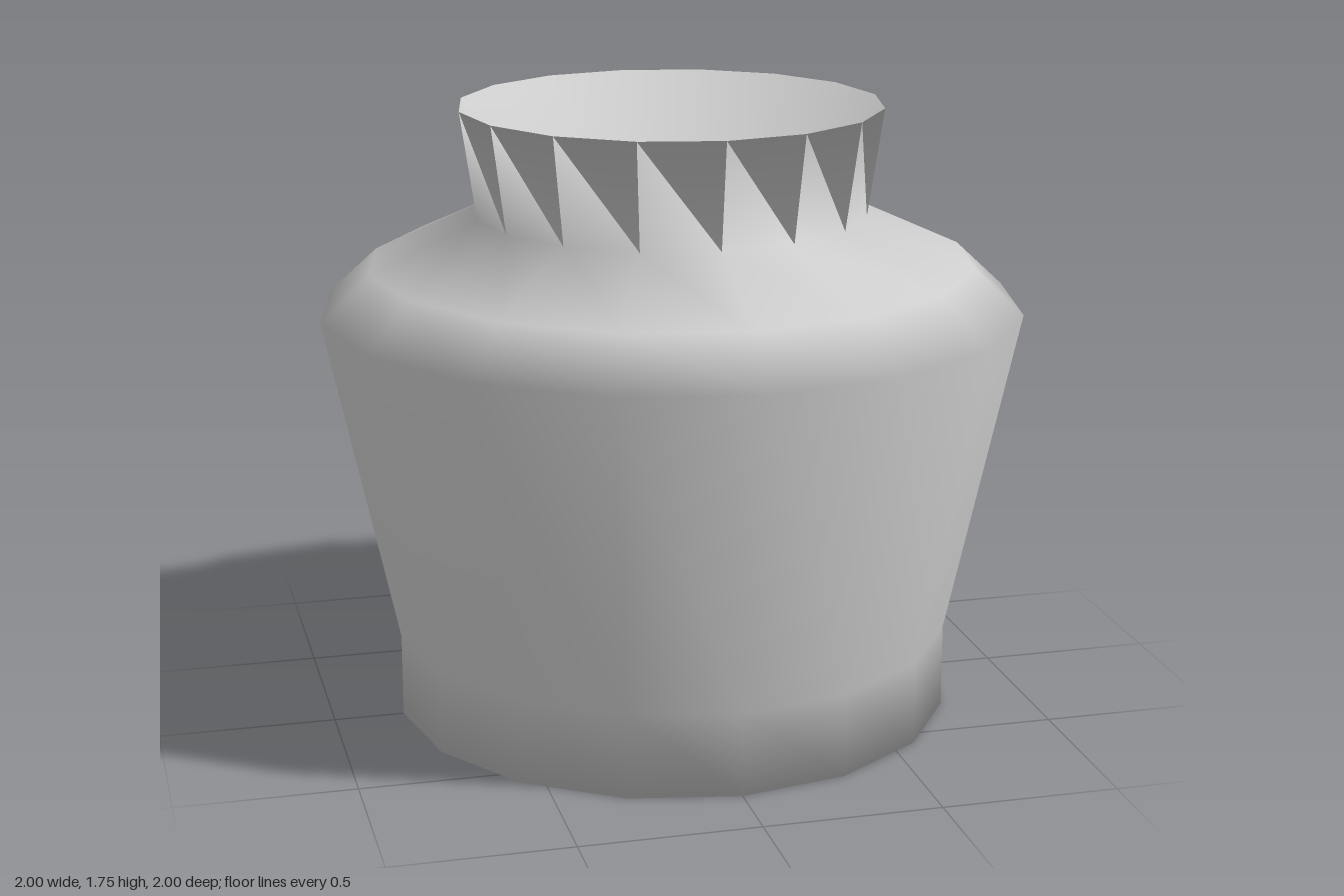
import * as THREE from 'three';

const SIDES = 16;

// Outline from the centre of the base, up the outside, over the rim and down into the mouth
const PROFILE = [
  [0, 0],        // base centre
  [0.8, 0],      // foot
  [0.8, 0.24],   // top of foot
  [1, 1.18],     // widest point
  [0.86, 1.31],  // shoulder
  [0.555, 1.45], // neck
  [0.6, 1.755],  // rim
  [0, 1.15],     // bottom of the hollow mouth
];

export function createModel() {
  const group = new THREE.Group();
  group.name = 'jar';

  const points = PROFILE.map(([r, y]) => new THREE.Vector2(r, y));
  const geometry = new THREE.LatheGeometry(points, SIDES);

  // Smooth shading across the bottom of the mouth
  const normals = geometry.attributes.normal;
  for (let i = 0; i <= SIDES; i++) {
    normals.setXYZ((i + 1) * points.length - 1, 0, 1, 0);
  }

  const material = new THREE.MeshStandardMaterial({ color: 0xcccccc, side: THREE.DoubleSide });
  const body = new THREE.Mesh(geometry, material);
  body.name = 'jarBody';
  group.add(body);
  return group;
}
